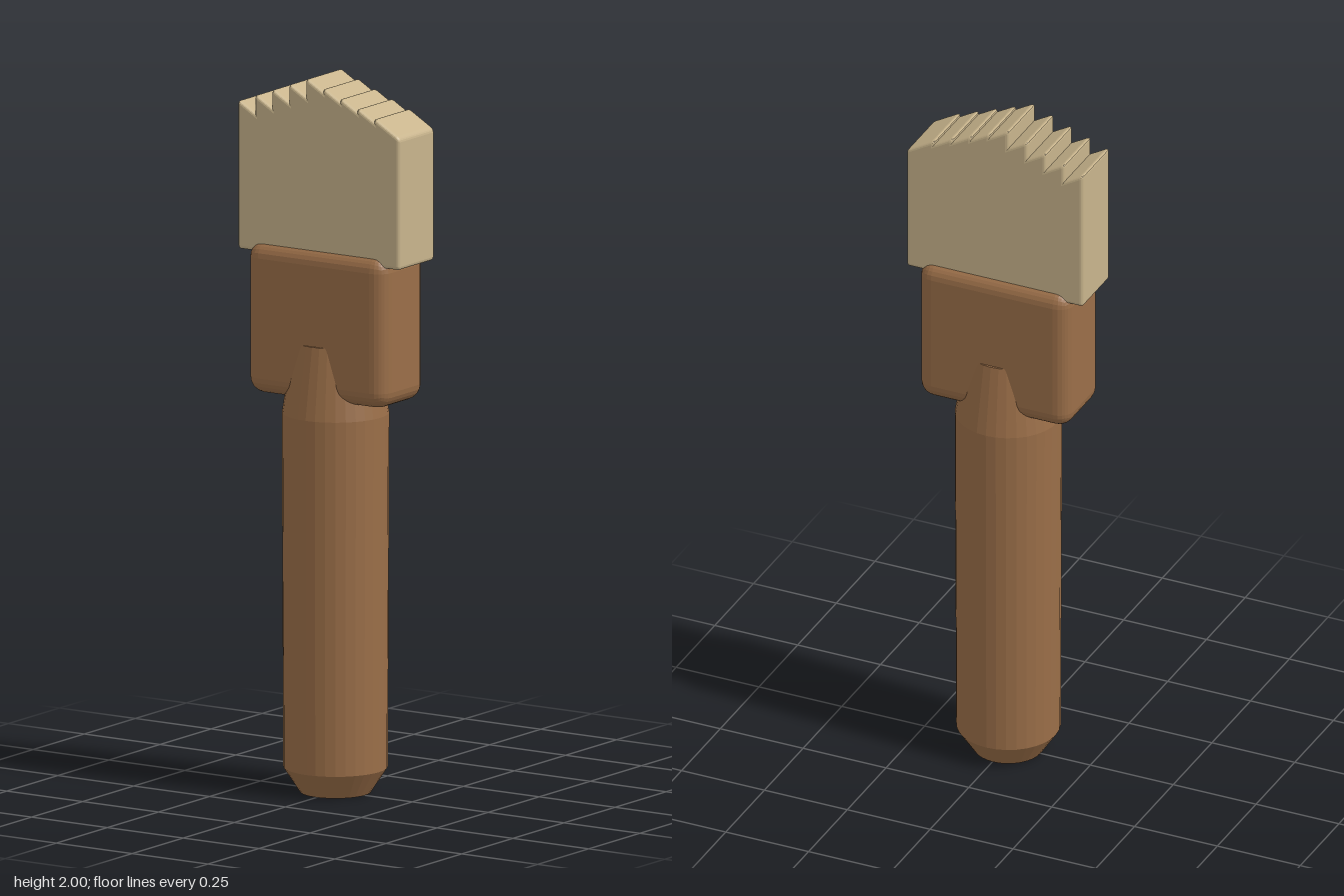
import * as THREE from 'three';
import { RoundedBoxGeometry } from 'three/addons/geometries/RoundedBoxGeometry.js';

const wood = new THREE.MeshStandardMaterial({ color: 0x9a6e48 });
wood.name = 'brown wood';
const hair = new THREE.MeshStandardMaterial({ color: 0xc8b48c });
hair.name = 'tan bristle';

// Faceted mesh from any geometry
function addPart(group, name, geometry, material) {
  const flat = geometry.index ? geometry.toNonIndexed() : geometry;
  flat.computeVertexNormals();
  const mesh = new THREE.Mesh(flat, material);
  mesh.name = name;
  group.add(mesh);
  return mesh;
}

// Rounded tuft with its top half sheared into a slope falling towards +x
function tuftGeometry(width, height, depth, slope) {
  const geometry = new RoundedBoxGeometry(width, height, depth, 2, 0.01);
  const p = geometry.attributes.position;
  for (let i = 0; i < p.count; i++) {
    if (p.getY(i) > 0) p.setY(i, p.getY(i) - slope * (p.getX(i) + width / 2));
  }
  return geometry.translate(width / 2, height / 2, 0);
}

export function createModel() {
  const model = new THREE.Group();
  model.name = 'brush';

  // Round handle with a chamfered foot and tapered shoulder
  const profile = [[0, 0], [0.097, 0], [0.143, 0.07], [0.147, 1.06], [0.115, 1.26], [0, 1.26]]
    .map(([r, y]) => new THREE.Vector2(r, y));
  addPart(model, 'handle', new THREE.LatheGeometry(profile, 32), wood).position.x = -0.003;

  // Head block holding the bristles
  addPart(model, 'headBlock', new RoundedBoxGeometry(0.457, 0.425, 0.216, 3, 0.045), wood)
    .position.set(-0.003, 1.318, 0);

  // Nine overlapping tufts, tallest in the middle
  const bristles = new THREE.Group();
  bristles.name = 'bristles';
  model.add(bristles);
  for (let i = 0; i < 9; i++) {
    const top = 2.003 - Math.abs(i - 4) * 0.0215;
    addPart(bristles, 'tuft' + (i + 1), tuftGeometry(0.085, top - 1.5, 0.175, 0.58), hair)
      .position.set(-0.268 + i * 0.056, 1.5, 0);
  }
  return model;
}
